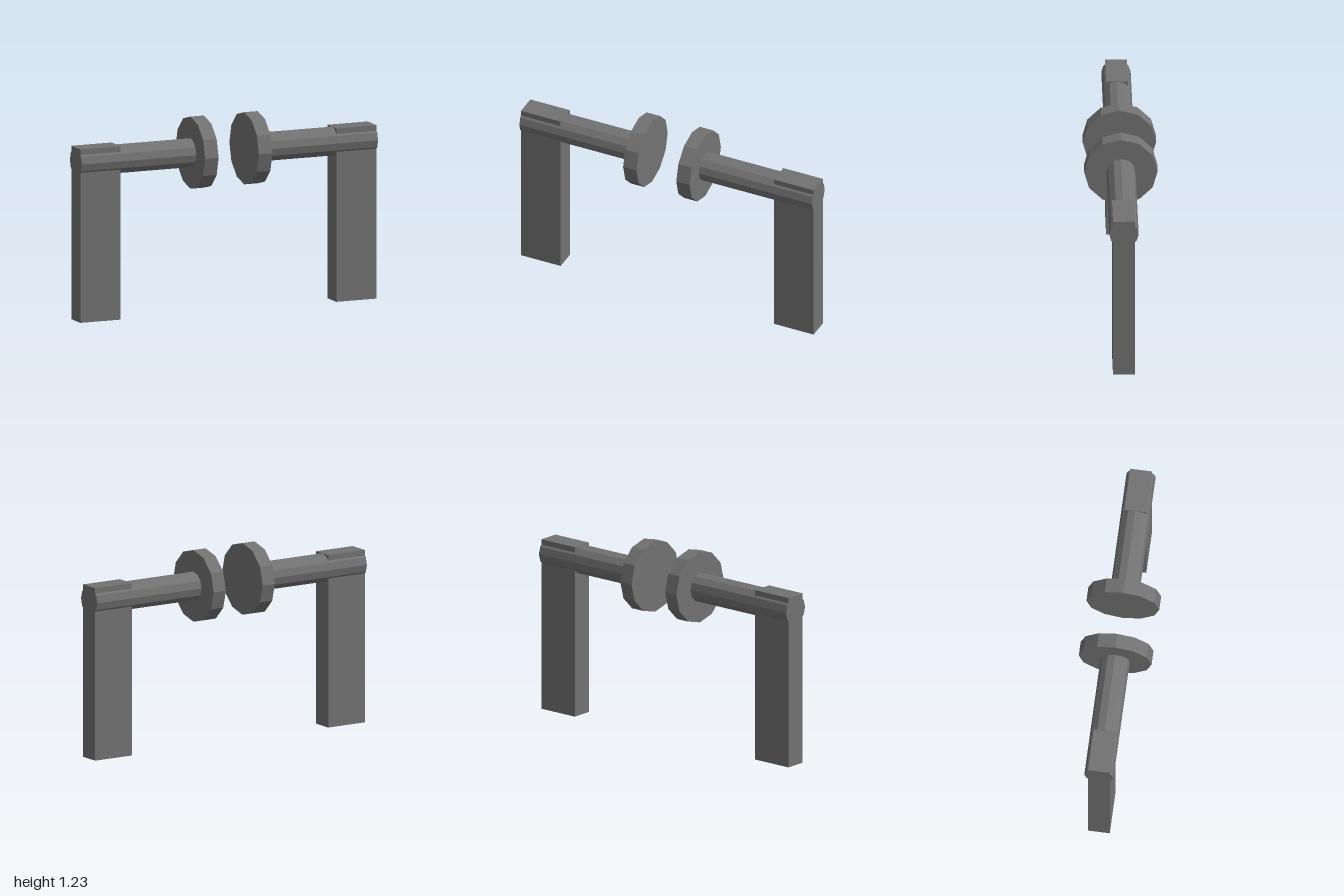
import * as THREE from 'three';

const material = new THREE.MeshStandardMaterial({ color: 0x727272, flatShading: true });

function part(parent, name, geometry, x, y) {
  const mesh = new THREE.Mesh(geometry, material);
  mesh.name = name;
  mesh.position.set(x, y, 0);
  parent.add(mesh);
}

// Twelve-sided cylinder lying along x, from x0 to x1
function barAlongX(parent, name, radius, x0, x1, y) {
  const geometry = new THREE.CylinderGeometry(radius, radius, x1 - x0, 12);
  geometry.rotateZ(Math.PI / 2);
  part(parent, name, geometry, (x0 + x1) / 2, y);
}

export function createModel() {
  const model = new THREE.Group();
  model.name = 'facingBuffers';
  const axisY = 1;

  // Two mirrored halves: post, horizontal rod and end disc
  for (const side of [1, -1]) {
    const half = new THREE.Group();
    half.name = side > 0 ? 'leftBuffer' : 'rightBuffer';
    part(half, 'post', new THREE.BoxGeometry(0.272, 1.091, 0.136), 0.864, 1.091 / 2);
    barAlongX(half, 'rod', 0.091, 0.225, 1, axisY);
    barAlongX(half, 'disc', 0.227, 0.136, 0.227, axisY);
    if (side < 0) half.rotation.y = Math.PI;
    model.add(half);
  }
  return model;
}
